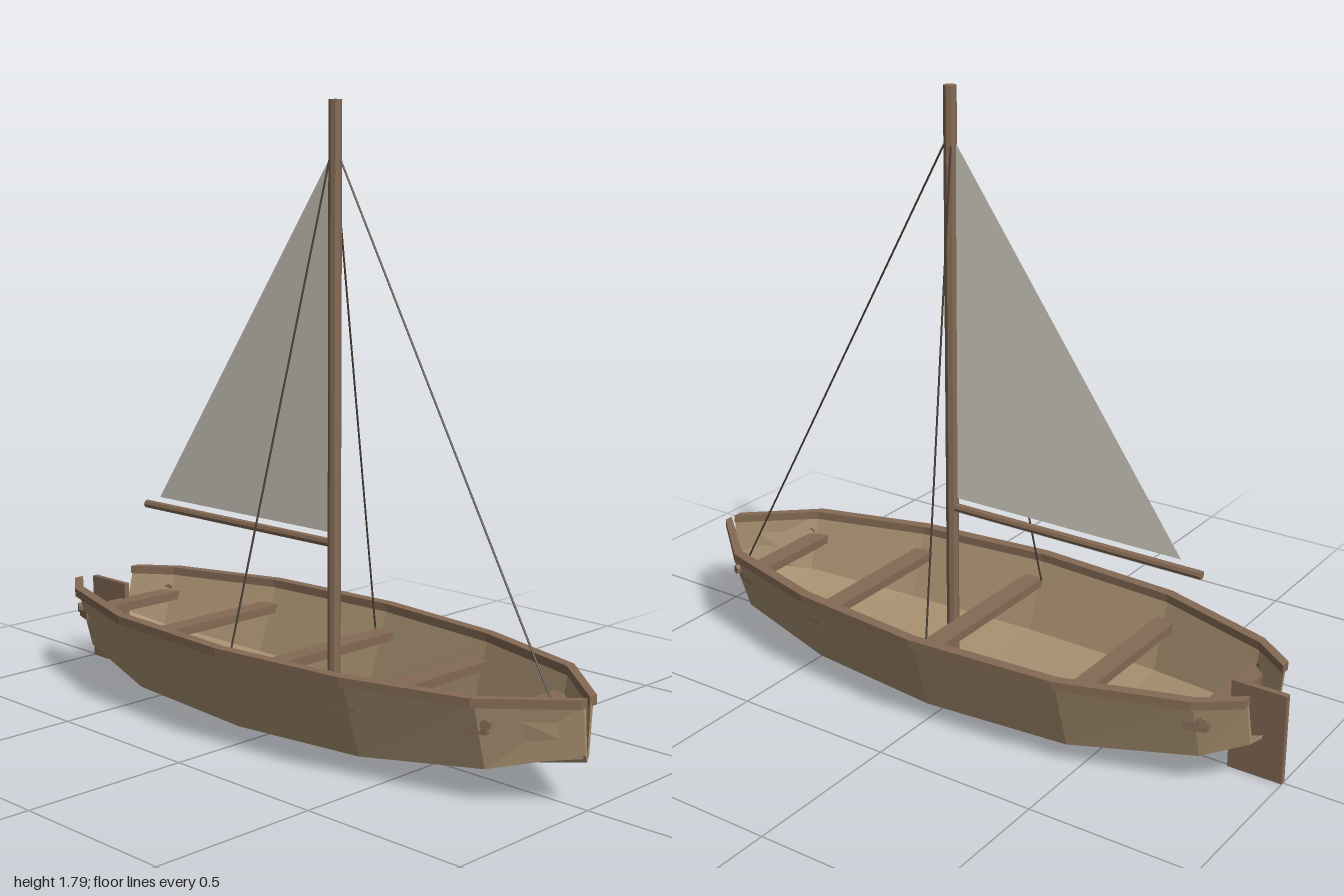
import * as THREE from 'three';

const wood = new THREE.MeshStandardMaterial({ color: 0xa89070, flatShading: true, side: THREE.DoubleSide });
const trim = new THREE.MeshStandardMaterial({ color: 0x846a54, flatShading: true });
const rope = new THREE.MeshStandardMaterial({ color: 0x4a4036 });
const cloth = new THREE.MeshStandardMaterial({ color: 0xd9d6c8, side: THREE.DoubleSide });

// z, half width at the sheer, half width at the chine, chine height, keel height (bow to stern)
const stations = [
  [0.995, 0.02, 0.008, 0.145, 0.125],
  [0.79, 0.203, 0.155, 0.095, 0.075],
  [0.43, 0.305, 0.24, 0.06, 0.035],
  [0, 0.35, 0.276, 0.05, 0.02],
  [-0.46, 0.322, 0.252, 0.06, 0.035],
  [-0.82, 0.205, 0.155, 0.1, 0.08],
  [-0.935, 0.118, 0.085, 0.14, 0.12],
];

// Skins counter-clockwise rings that run from +z to -z, and caps both ends
function loft(rings) {
  const pos = [];
  const quad = (a, b, c, d) => pos.push(...a, ...b, ...c, ...a, ...c, ...d);
  const n = rings[0].length;
  for (let i = 0; i < rings.length - 1; i++) {
    for (let j = 0; j < n; j++) {
      const k = (j + 1) % n;
      quad(rings[i][j], rings[i + 1][j], rings[i + 1][k], rings[i][k]);
    }
  }
  const first = rings[0], last = rings[rings.length - 1];
  for (let k = 0; k < n / 2 - 1; k++) {
    quad(first[k], first[k + 1], first[n - 2 - k], first[n - 1 - k]);
    quad(last[n - 1 - k], last[n - 2 - k], last[k + 1], last[k]);
  }
  const geo = new THREE.BufferGeometry();
  geo.setAttribute('position', new THREE.Float32BufferAttribute(pos, 3));
  geo.computeVertexNormals();
  return geo;
}

// Rectangle ring in a plane of constant z
const rect = (x0, x1, y0, y1, z) => [[x0, y0, z], [x1, y0, z], [x1, y1, z], [x0, y1, z]];

export function createModel() {
  const model = new THREE.Group();
  const add = (name, geo, mat) => {
    const mesh = new THREE.Mesh(geo, mat);
    mesh.name = name;
    model.add(mesh);
    return mesh;
  };
  // Round bar between two points
  const bar = (name, a, b, radius, sides, mat) => {
    const p = new THREE.Vector3(...a), q = new THREE.Vector3(...b);
    const dir = q.clone().sub(p);
    const mesh = add(name, new THREE.CylinderGeometry(radius, radius, dir.length(), sides), mat);
    mesh.position.copy(p).add(q).multiplyScalar(0.5);
    mesh.quaternion.setFromUnitVectors(new THREE.Vector3(0, 1, 0), dir.normalize());
    return mesh;
  };

  // Hard-chined hull shell, open at bow and stern
  const t = 0.01;
  add('hull', loft(stations.map(([z, w, c, cy, ky]) => {
    const wi = Math.max(w - t, 0.008), ci = Math.max(c - t, 0.002);
    return [
      [-w, 0.28, z], [-c, cy, z], [0, ky, z], [c, cy, z], [w, 0.28, z],
      [wi, 0.28, z], [ci, cy + t, z], [0, ky + t, z], [-ci, cy + t, z], [-wi, 0.28, z],
    ];
  })), wood);

  // Gunwale rails and small hull fittings, mirrored
  for (const s of [1, -1]) {
    const side = s > 0 ? 'left' : 'right';
    add(side + 'Rail', loft(stations.map(([z, w]) => {
      const a = s * Math.max(w - 0.018, 0.006), b = s * (w + 0.015);
      return rect(Math.min(a, b), Math.max(a, b), 0.27, 0.295, z);
    })), trim);
    for (const [z, x, dz] of [[0.81, 0.176, 0.5], [-0.835, 0.18, -0.6]]) {
      bar(side + 'Fitting', [s * (x - 0.008), 0.224, z - dz * 0.008],
        [s * (x + 0.012), 0.224, z + dz * 0.012], 0.015, 6, trim);
    }
  }

  // Thwarts, tapered to follow the hull sides
  const thwarts = [
    [0.81, 0.175, 0.195], [0.45, 0.277, 0.289], [0.05, 0.317, 0.321],
    [-0.435, 0.296, 0.284], [-0.79, 0.2, 0.178],
  ];
  for (const [z, w0, w1] of thwarts) {
    add('thwart', loft([rect(-w0, w0, 0.193, 0.22, z), rect(-w1, w1, 0.193, 0.22, z - 0.062)]), trim);
  }

  // Mast and boom
  bar('mast', [0, 0.035, 0.105], [0, 1.795, 0.105], 0.019, 8, trim);
  bar('boom', [0, 0.55, 0.1], [0, 0.55, -0.725], 0.013, 8, trim);

  // Triangular sail
  const sail = new THREE.Shape([[-0.088, 0.58], [0.66, 0.58], [-0.088, 1.64]].map(p => new THREE.Vector2(...p)));
  add('sail', new THREE.ShapeGeometry(sail).rotateY(Math.PI / 2), cloth);

  // Standing rigging
  bar('forestay', [0, 1.64, 0.12], [0, 0.17, 0.93], 0.003, 5, rope);
  for (const s of [1, -1]) {
    bar('shroud', [s * 0.01, 1.64, 0.095], [s * 0.305, 0.22, -0.016], 0.003, 5, rope);
  }

  // Rudder blade
  add('rudder', new THREE.BoxGeometry(0.018, 0.27, 0.165), trim).position.set(0, 0.135, -0.9175);

  return model;
}
